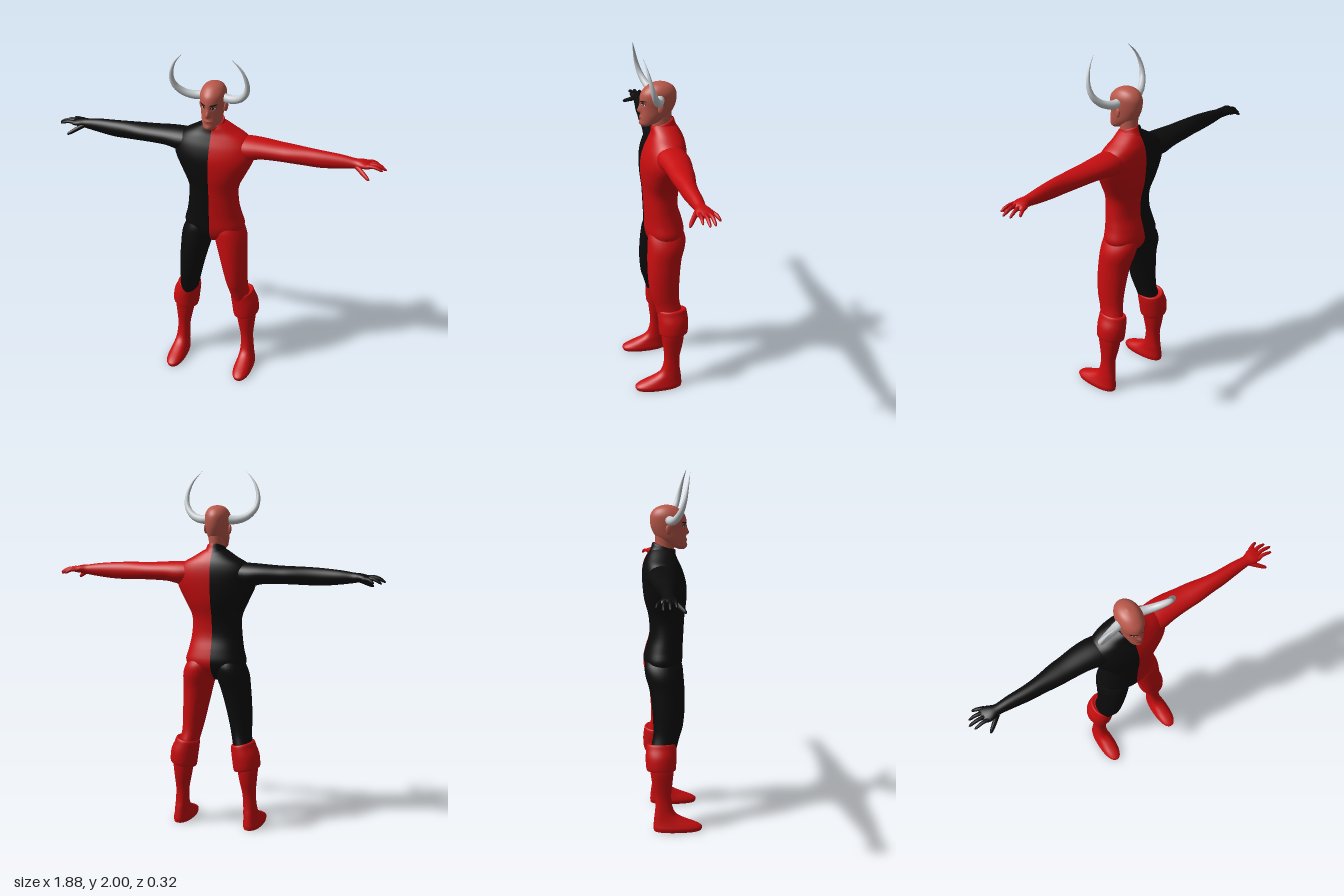
import * as THREE from 'three';

const mat = (name, color) => Object.assign(new THREE.MeshStandardMaterial({ color }), { name });

// Catmull-Rom resampling of a table of cross-sections
function resample(rows, steps) {
  const out = [], last = rows.length - 1;
  for (let k = 0; k <= last * steps; k++) {
    const i = Math.min(Math.floor(k / steps), last - 1), t = k / steps - i;
    const [a, b, c, d] = [Math.max(i - 1, 0), i, i + 1, Math.min(i + 2, last)].map(n => rows[n]);
    out.push(b.map((_, n) => 0.5 * (2 * b[n] + (c[n] - a[n]) * t
      + (2 * a[n] - 5 * b[n] + 4 * c[n] - d[n]) * t * t
      + (3 * b[n] - a[n] - 3 * c[n] + d[n]) * t * t * t)));
  }
  return out;
}

// Skin over oval sections. Row: [position on axis, centre, half size, front z, back z].
// The first half of each ring is group 0 (+x when upright), the second half group 1.
function loft(rows, { axis = 'y', side = 1, power = 2, seg = 32, steps = 4, bend } = {}) {
  const rings = resample(rows, steps), pos = [], halves = [[], []];
  const flip = (axis === 'x') !== (side < 0);
  const put = (t, u, v) => {
    const p = axis === 'x' ? new THREE.Vector3(t, u, v) : new THREE.Vector3(u, t, v);
    if (bend) bend(p);
    pos.push(p.x * side, p.y, p.z);
  };
  const tri = (h, a, b, c) => halves[h].push(...(flip ? [a, c, b] : [a, b, c]));
  const ring = ([t, c, r, f, b]) => {
    for (let j = 0; j < seg; j++) {
      const a = -Math.PI / 2 + j / seg * Math.PI * 2, C = Math.cos(a), S = Math.sin(a);
      const e = v => Math.sign(v) * Math.abs(v) ** (2 / power);
      put(t, c + r * e(C), (f + b) / 2 + (f - b) / 2 * e(S));
    }
  };
  rings.forEach(ring);
  for (let i = 0; i < rings.length - 1; i++) for (let j = 0; j < seg; j++) {
    const h = j < seg / 2 ? 0 : 1, k = (j + 1) % seg, a = i * seg, b = a + seg;
    tri(h, a + j, b + j, a + k);
    tri(h, a + k, b + j, b + k);
  }
  // End caps with their own vertices, so their rims stay crisp
  [rings[0], rings[rings.length - 1]].forEach((row, end) => {
    const base = pos.length / 3;
    ring(row);
    put(row[0], row[1], (row[3] + row[4]) / 2);
    for (let j = 0; j < seg; j++) {
      const a = base + j, b = base + (j + 1) % seg;
      tri(j < seg / 2 ? 0 : 1, base + seg, end ? b : a, end ? a : b);
    }
  });
  const g = new THREE.BufferGeometry();
  g.setAttribute('position', new THREE.Float32BufferAttribute(pos, 3));
  g.setIndex([...halves[0], ...halves[1]]);
  g.addGroup(0, halves[0].length, 0);
  g.addGroup(halves[0].length, halves[1].length, 1);
  g.computeVertexNormals();
  return g;
}

// Tube whose radius follows a rule along its length
function taperTube(points, radius, taper, n = 24, seg = 14) {
  const curve = new THREE.CatmullRomCurve3(points.map(p => new THREE.Vector3(...p)));
  const g = new THREE.TubeGeometry(curve, n, radius, seg), p = g.attributes.position;
  const v = new THREE.Vector3();
  for (let i = 0; i <= n; i++) {
    const c = curve.getPointAt(i / n);
    for (let j = 0; j <= seg; j++) {
      const k = i * (seg + 1) + j;
      v.fromBufferAttribute(p, k).sub(c).multiplyScalar(taper(i / n)).add(c);
      p.setXYZ(k, v.x, v.y, v.z);
    }
  }
  g.computeVertexNormals();
  return g;
}

export function createModel() {
  const red = mat('red suit', 0xc60d0f), black = mat('black suit', 0x0b0b0b);
  const skin = mat('skin', 0xb9584a), horn = mat('horn', 0xc9cdd0);
  const dark = mat('brow and pupil', 0x1c1210), white = mat('eye white', 0xd8d8d0);
  const lip = mat('lip', 0x8c3a32);
  const model = new THREE.Group();
  const add = (name, geometry, material) => {
    const m = new THREE.Mesh(geometry, material);
    m.name = name;
    model.add(m);
    return m;
  };

  // Torso, split down the middle into two colours
  add('torso', loft([
    [0.85, 0, 0.03, 0, -0.07], [0.89, 0, 0.12, 0.045, -0.12], [0.95, 0, 0.172, 0.064, -0.153],
    [1.02, 0, 0.158, 0.066, -0.142], [1.1, 0, 0.144, 0.07, -0.12], [1.2, 0, 0.141, 0.076, -0.124],
    [1.29, 0, 0.18, 0.086, -0.147], [1.38, 0, 0.222, 0.085, -0.157], [1.45, 0, 0.222, 0.068, -0.158],
    [1.5, 0, 0.185, 0.046, -0.15], [1.535, 0, 0.125, 0.03, -0.135], [1.565, 0, 0.076, 0.022, -0.115],
    [1.58, 0, 0.05, 0.01, -0.095],
  ], { power: 2.2, seg: 48 }), [red, black]);
  add('collar', loft([
    [1.53, 0, 0.085, 0.026, -0.12], [1.56, 0, 0.06, 0.026, -0.108], [1.59, 0, 0.05, 0.028, -0.1],
    [1.592, 0, 0.044, 0.022, -0.094],
  ], { bend: p => { p.y -= 0.35 * (p.z + 0.045); } }), [red, black]);

  for (const side of [1, -1]) {
    const which = side > 0 ? 'left ' : 'right ', suit = side > 0 ? red : black;
    const solid = (name, rows, m, opts) => add(which + name, loft(rows, { side, ...opts }), [m, m]);

    solid('leg', [
      [1.0, 0.07, 0.06, 0.035, -0.115], [0.94, 0.084, 0.084, 0.058, -0.148],
      [0.88, 0.097, 0.093, 0.065, -0.147], [0.8, 0.111, 0.084, 0.07, -0.125],
      [0.7, 0.127, 0.073, 0.07, -0.112], [0.6, 0.14, 0.062, 0.06, -0.106],
      [0.54, 0.148, 0.056, 0.042, -0.108], [0.48, 0.16, 0.054, 0.025, -0.12],
      [0.42, 0.17, 0.052, 0.01, -0.125],
    ].reverse(), suit);

    // Boot with foot, and its turned-over cuff
    solid('boot', [
      [0, 0.21, 0.05, 0.16, -0.108], [0.02, 0.21, 0.054, 0.165, -0.111], [0.04, 0.209, 0.049, 0.135, -0.11],
      [0.062, 0.208, 0.043, 0.08, -0.108], [0.09, 0.206, 0.039, 0.025, -0.105],
      [0.13, 0.204, 0.036, 0, -0.1], [0.2, 0.2, 0.036, -0.01, -0.1], [0.28, 0.195, 0.047, -0.002, -0.117],
      [0.35, 0.192, 0.056, 0.005, -0.126], [0.4, 0.188, 0.054, 0.005, -0.126],
    ], red, { power: 2.3 });
    solid('boot cuff', [
      [0.365, 0.19, 0.05, 0, -0.12], [0.347, 0.19, 0.068, 0.012, -0.138], [0.36, 0.189, 0.075, 0.018, -0.148],
      [0.42, 0.182, 0.076, 0.021, -0.152], [0.47, 0.169, 0.069, 0.023, -0.148],
      [0.499, 0.164, 0.063, 0.02, -0.142], [0.497, 0.163, 0.05, 0.01, -0.125],
    ], red, { bend: p => { p.y += 0.2 * (p.x - 0.17); } });

    // Arm ending in the palm
    solid('arm', [
      [0.1, 1.45, 0.055, 0.03, -0.12], [0.19, 1.442, 0.065, 0.03, -0.138], [0.27, 1.448, 0.055, 0.02, -0.135],
      [0.36, 1.447, 0.05, 0.013, -0.123], [0.43, 1.446, 0.049, 0.01, -0.115], [0.52, 1.444, 0.049, 0, -0.098],
      [0.6, 1.442, 0.047, -0.006, -0.09], [0.7, 1.443, 0.038, -0.018, -0.088],
      [0.77, 1.443, 0.028, -0.025, -0.084], [0.81, 1.445, 0.023, -0.017, -0.1],
      [0.845, 1.443, 0.016, -0.018, -0.107], [0.862, 1.44, 0.008, -0.03, -0.095],
    ], suit, { axis: 'x' });

    // Fingers: root and tip; the thumb comes last
    const digit = t => (1 - 0.3 * t) * Math.sqrt(Math.max(1 - t ** 8, 0));
    [
      [[0.825, 1.442, -0.096], [0.86, 1.44, -0.112], [0.888, 1.422, -0.125]],
      [[0.83, 1.444, -0.076], [0.88, 1.442, -0.086], [0.925, 1.418, -0.092]],
      [[0.83, 1.446, -0.053], [0.89, 1.446, -0.058], [0.942, 1.424, -0.06]],
      [[0.825, 1.446, -0.032], [0.88, 1.448, -0.031], [0.925, 1.432, -0.028]],
      [[0.785, 1.436, -0.035], [0.83, 1.412, -0.002], [0.865, 1.392, 0.022]],
    ].forEach((pts, i) => add(which + (i < 4 ? 'finger ' + (i + 1) : 'thumb'),
      taperTube(pts.map(([x, y, z]) => [x * side, y, z]), i < 4 ? 0.0115 : 0.014, digit, 16, 10), suit));

    // Horn
    add(which + 'horn', taperTube([
      [0.05, 1.737, -0.012], [0.1, 1.735, 0.0], [0.155, 1.753, 0.02], [0.198, 1.8, 0.045],
      [0.207, 1.86, 0.063], [0.182, 1.935, 0.08], [0.13, 1.998, 0.096],
    ].map(([x, y, z]) => [x * side, y, z]), 0.025, t => Math.max(1 - t ** 1.25, 0.01), 48, 20), horn);

    // Ear
    const ear = new THREE.SphereGeometry(1, 16, 12).scale(0.009, 0.027, 0.017);
    ear.rotateX(-0.15).rotateY(-0.35 * side).translate(0.069 * side, 1.685, -0.015);
    add(which + 'ear', ear, skin);
  }

  // Neck and head, with nose, eye sockets, lips and chin shaped by smooth bumps
  add('neck', loft([
    [1.53, 0, 0.045, 0.018, -0.09], [1.6, 0, 0.043, 0.02, -0.086], [1.67, 0, 0.045, 0.02, -0.088],
  ]), [skin, skin]);
  const bump = (v, w) => Math.exp(-((v / w) ** 2));
  const head = add('head', loft([
    [1.574, 0, 0.018, 0.077, 0.04], [1.588, 0, 0.036, 0.087, 0.0], [1.61, 0, 0.047, 0.087, -0.045],
    [1.64, 0, 0.056, 0.084, -0.08], [1.68, 0, 0.062, 0.082, -0.103], [1.72, 0, 0.067, 0.087, -0.113],
    [1.76, 0, 0.067, 0.078, -0.111], [1.79, 0, 0.054, 0.05, -0.092], [1.807, 0, 0.034, 0.02, -0.062],
    [1.815, 0, 0.006, -0.015, -0.03],
  ], {
    seg: 72, steps: 8, bend: p => {
      if (p.z < 0.02) return;
      const x = Math.abs(p.x);
      p.z += 0.019 * bump(x, 0.011) * bump(p.y - 1.662, p.y > 1.662 ? 0.03 : 0.011);
      p.z -= 0.008 * bump(x - 0.028, 0.014) * bump(p.y - 1.704, 0.011);
      p.z += 0.004 * bump(x, 0.02) * bump(p.y - 1.625, 0.008);
      p.z += 0.004 * bump(x, 0.016) * bump(p.y - 1.592, 0.012);
    },
  }), [skin, skin]);

  // Thin oval patches that follow the face
  const ray = new THREE.Raycaster();
  const patch = (name, x, y, w, h, tilt, lift, m) => {
    const g = new THREE.CircleGeometry(1, 20).scale(w, h, 1).rotateZ(tilt).translate(x, y, 0);
    const p = g.attributes.position;
    for (let i = 0; i < p.count; i++) {
      ray.set(new THREE.Vector3(p.getX(i), p.getY(i), 1), new THREE.Vector3(0, 0, -1));
      const hit = ray.intersectObject(head)[0];
      p.setZ(i, (hit ? hit.point.z : 0.06) + lift);
    }
    g.computeVertexNormals();
    add(name, g, m);
  };
  for (const s of [1, -1]) {
    patch('eye rim', 0.028 * s, 1.703, 0.0145, 0.0075, 0.1 * s, 0.0012, dark);
    patch('eye white', 0.028 * s, 1.702, 0.012, 0.0052, 0.1 * s, 0.0022, white);
    patch('pupil', 0.027 * s, 1.702, 0.0045, 0.0048, 0, 0.0032, dark);
    patch('eyebrow', 0.03 * s, 1.72, 0.019, 0.0042, 0.16 * s, 0.0018, dark);
  }
  patch('lips', 0, 1.625, 0.021, 0.0055, 0, 0.0015, lip);
  return model;
}
